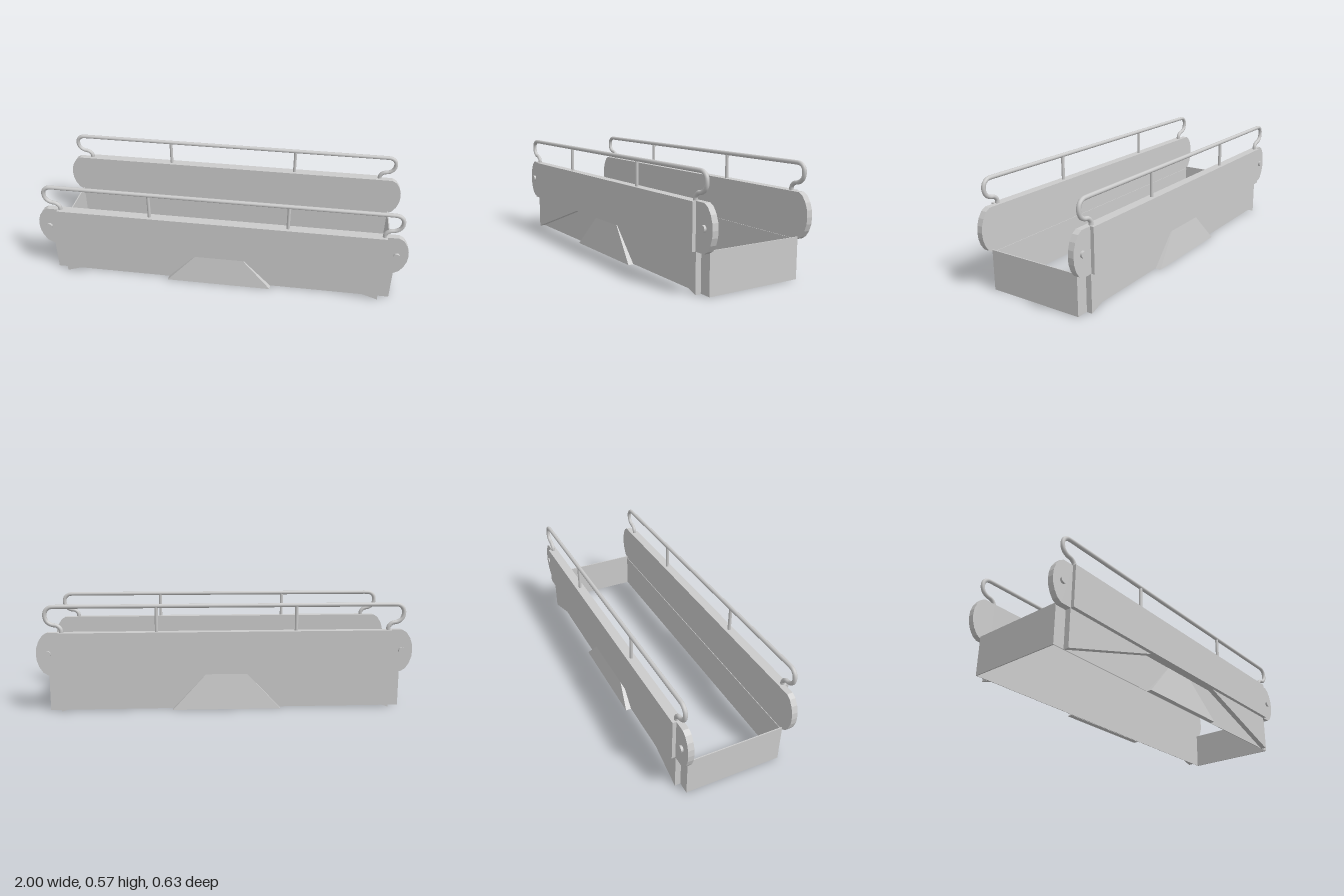
import * as THREE from 'three';

const material = new THREE.MeshStandardMaterial({ color: 0xcccccc, side: THREE.DoubleSide });

function add(parent, name, geometry, x = 0, y = 0, z = 0) {
  const mesh = new THREE.Mesh(geometry, material);
  mesh.name = name;
  mesh.position.set(x, y, z);
  parent.add(mesh);
  return mesh;
}

// Flat outline in x and y, thickened along z from z0 to z1
function plate(points, z0, z1) {
  const shape = new THREE.Shape(points.map(([x, y]) => new THREE.Vector2(x, y)));
  return new THREE.ExtrudeGeometry(shape, { depth: z1 - z0, bevelEnabled: false }).translate(0, 0, z0);
}

// Box given by its lower and upper corners
function block(x0, x1, y0, y1, z0, z1) {
  return new THREE.BoxGeometry(x1 - x0, y1 - y0, z1 - z0)
    .translate((x0 + x1) / 2, (y0 + y1) / 2, (z0 + z1) / 2);
}

const INNER = 0.262, SKIRT = 0.292, OUTER = 0.313;
const LOW = 0.2, TOP = 0.427;

function createSide() {
  const side = new THREE.Group();

  // Thin lower wall and the thick panel above it
  add(side, 'lowerWall', block(-0.94, 0.94, 0.002, LOW, INNER - 0.003, INNER));
  add(side, 'sidePanel', block(-0.88, 0.88, LOW, TOP, INNER, OUTER));

  // Flared centre plate: flush at its top, proud at its foot
  const flare = plate([[-0.29, 0], [0.29, 0], [0.1, LOW], [-0.1, LOW]], INNER, SKIRT);
  const p = flare.attributes.position;
  for (let i = 0; i < p.count; i++) {
    if (p.getZ(i) > INNER + 0.01) p.setZ(i, SKIRT - (SKIRT - INNER - 0.001) * p.getY(i) / LOW);
  }
  flare.computeVertexNormals();
  add(side, 'centreFlare', flare);

  for (const s of [-1, 1]) {
    // Triangular brace below the panel
    const brace = [[0.88, 0], [0.88, LOW], [0.29, LOW]].map(([x, y]) => [s * x, y]);
    add(side, 'cornerBrace', plate(brace, INNER, SKIRT));

    // Rounded panel end
    const cap = [[0.88, LOW], [0.94, LOW], [0.965, 0.215], [0.985, 0.245], [0.997, 0.28], [1, 0.3135],
      [0.997, 0.347], [0.985, 0.382], [0.965, 0.412], [0.94, TOP], [0.88, TOP]].map(([x, y]) => [s * x, y]);
    add(side, 'panelEnd', plate(cap, INNER, 0.294));

    // Bolt in the panel end
    add(side, 'bolt', new THREE.CylinderGeometry(0.017, 0.017, 0.016, 12).rotateX(Math.PI / 2),
      s * 0.94, 0.315, 0.298);

    // Upright under the rail
    add(side, 'railPost', new THREE.CylinderGeometry(0.009, 0.009, 0.135, 10), s * 0.37, 0.4945, 0.287);
  }

  // Handrail with curled ends
  const curl = [[0.865, 0.42], [0.867, 0.445], [0.885, 0.463], [0.915, 0.47], [0.938, 0.487],
    [0.947, 0.515], [0.941, 0.543], [0.92, 0.56], [0.89, 0.563]];
  const right = curl.map(([x, y]) => new THREE.Vector3(-x, y, 0.287));
  const left = curl.map(([x, y]) => new THREE.Vector3(x, y, 0.287)).reverse();
  const path = new THREE.CurvePath();
  path.add(new THREE.CatmullRomCurve3(right));
  path.add(new THREE.LineCurve3(right[right.length - 1], left[0]));
  path.add(new THREE.CatmullRomCurve3(left));
  add(side, 'handrail', new THREE.TubeGeometry(path, 240, 0.011, 10));

  return side;
}

export function createModel() {
  const model = new THREE.Group();
  model.name = 'railedFrame';

  // Matching front and back sides
  for (const [name, turn] of [['frontSide', 0], ['backSide', Math.PI]]) {
    const side = createSide();
    side.name = name;
    side.rotation.y = turn;
    model.add(side);
  }

  // End walls
  for (const s of [-1, 1]) {
    add(model, 'endWall', new THREE.BoxGeometry(0.006, 0.21, 2 * INNER), s * 0.94, 0.107, 0);
  }
  return model;
}
